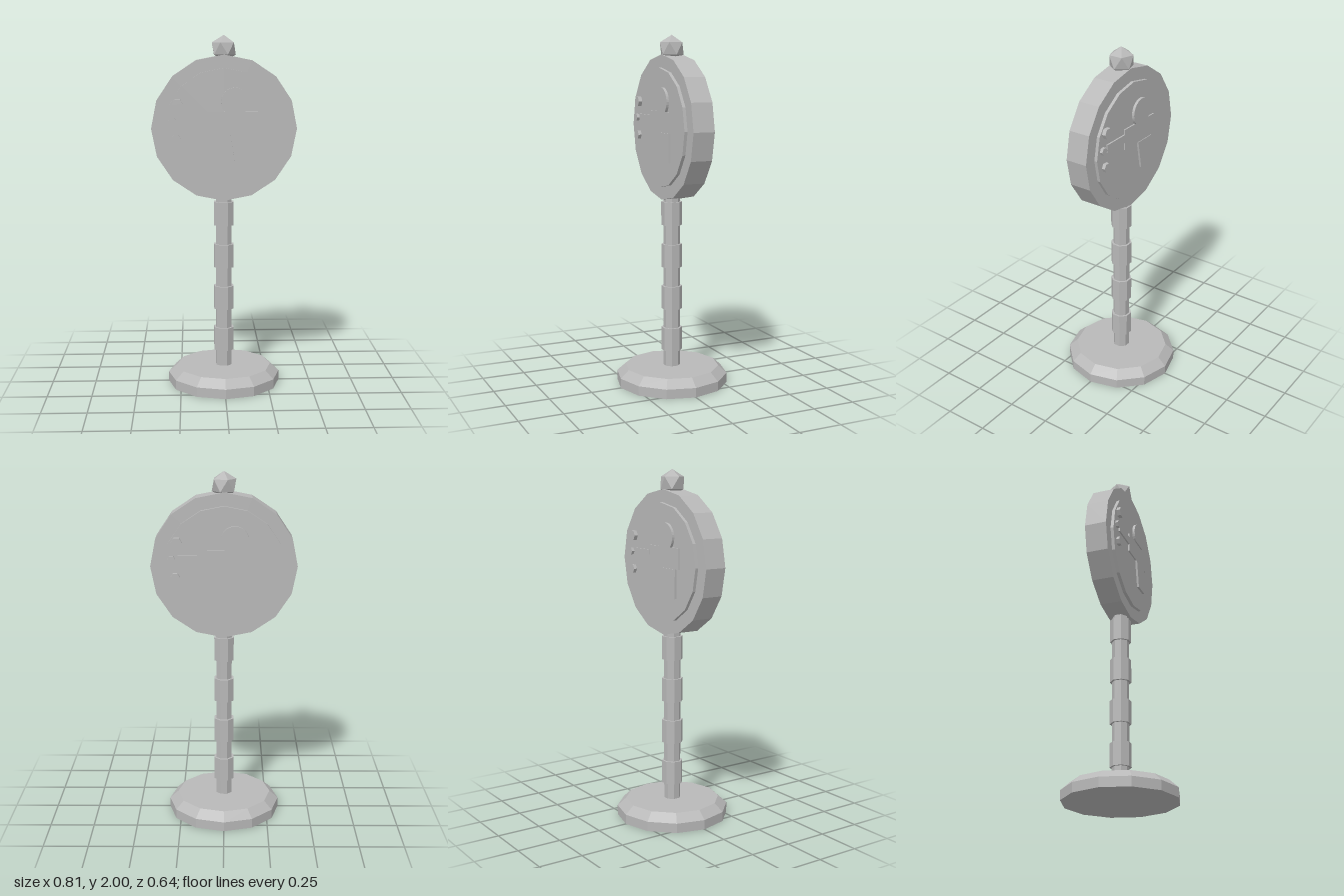
import * as THREE from 'three';

const CENTER_Y = 1.485;

export function createModel() {
  const model = new THREE.Group();
  model.name = 'roundSignPost';
  const grey = new THREE.MeshStandardMaterial({ color: 0xb8b8b8 });
  grey.name = 'plain grey';

  // Faceted mesh: every face keeps its own normal
  function add(parent, name, geometry, x = 0, y = 0, z = 0) {
    const flat = geometry.index ? geometry.toNonIndexed() : geometry;
    flat.computeVertexNormals();
    const mesh = new THREE.Mesh(flat, grey);
    mesh.name = name;
    mesh.position.set(x, y, z);
    parent.add(mesh);
    return mesh;
  }

  // Disc facing z
  const disc = (r, depth, sides) =>
    new THREE.CylinderGeometry(r, r, depth, sides).rotateX(Math.PI / 2);

  // Flat outline raised to a given depth
  const plate = (shape, depth) =>
    new THREE.ExtrudeGeometry(shape, { depth, bevelEnabled: false, curveSegments: 12 });
  const polygon = (points) =>
    new THREE.Shape(points.map(([x, y]) => new THREE.Vector2(x, y)));

  // Base with sloped shoulder
  add(model, 'base', new THREE.CylinderGeometry(0.322, 0.322, 0.055, 12), 0, 0.0275);
  add(model, 'baseShoulder', new THREE.CylinderGeometry(0.272, 0.322, 0.045, 12), 0, 0.0775);

  // Octagonal pole with four sleeves
  const octagon = (r, h) => new THREE.CylinderGeometry(r, r, h, 8).rotateY(Math.PI / 8);
  add(model, 'pole', octagon(0.048, 1.05), 0, 0.615);
  for (let i = 0; i < 4; i++) {
    add(model, 'poleSleeve', octagon(0.06, 0.135), 0, 0.26 + i * 0.2457);
  }

  // Round sign
  add(model, 'signRim', disc(0.407, 0.126, 16), 0, CENTER_Y);
  add(model, 'signFace', disc(0.335, 0.162, 16), 0, CENTER_Y);

  // Icosahedron finial with one corner pointing up
  const phi = (1 + Math.sqrt(5)) / 2;
  add(model, 'finial',
    new THREE.IcosahedronGeometry(0.075, 0).rotateZ(Math.atan(1 / phi)), 0, 1.925);

  // Raised emblem, the same on front and back
  for (const turn of [0, Math.PI]) {
    const emblem = new THREE.Group();
    emblem.name = turn ? 'backEmblem' : 'frontEmblem';
    emblem.rotation.y = turn;
    model.add(emblem);

    const z = 0.078;
    const cut = -Math.asin(0.055 / 0.078);
    const head = new THREE.Shape().absarc(0.06, 1.635, 0.078, cut, Math.PI - cut, false);
    add(emblem, 'figureHead', plate(head, 0.018), 0, 0, z);
    add(emblem, 'figureBody', plate(polygon(
      [[-0.093, 1.463], [0.187, 1.463], [0.187, 1.58], [-0.093, 1.58]]), 0.011), 0, 0, z);
    add(emblem, 'figureArm', plate(polygon(
      [[-0.253, 1.506], [-0.093, 1.506], [-0.093, 1.552], [-0.253, 1.552]]), 0.012), 0, 0, z);
    add(emblem, 'figureLeg', plate(polygon(
      [[0.06, 1.3], [0.157, 1.3], [0.16, 1.463], [0.03, 1.463]]), 0.015), 0, 0, z);

    // Three hexagonal studs: x, y, radius, front
    for (const [x, y, r, front] of [
      [-0.26, 1.623, 0.031, 0.103], [-0.289, 1.53, 0.022, 0.098], [-0.268, 1.43, 0.026, 0.1],
    ]) {
      const depth = front - 0.075;
      add(emblem, 'stud', disc(r, depth, 6).rotateZ(Math.PI / 6), x, y, front - depth / 2);
    }
  }
  return model;
}
